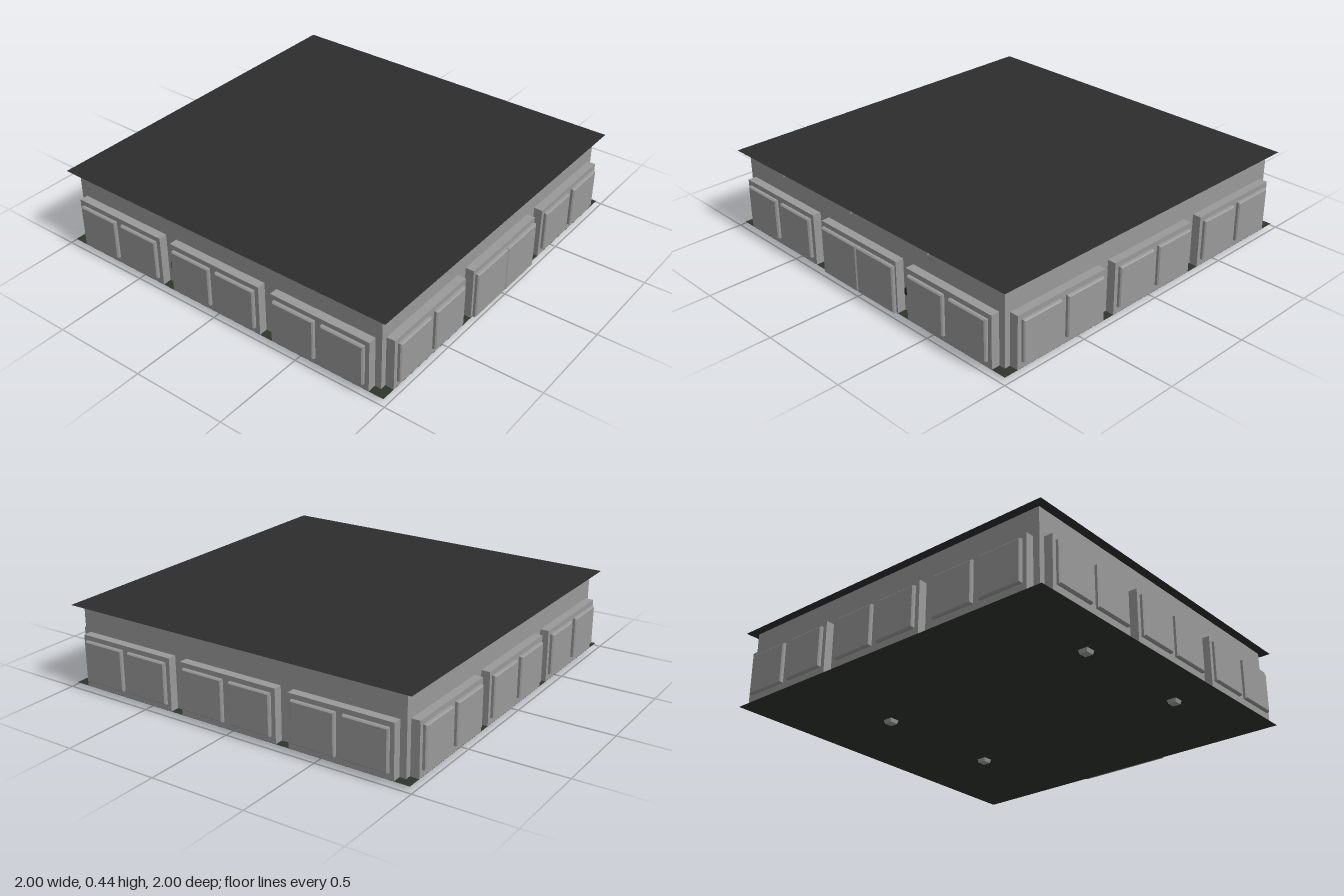
import * as THREE from 'three';

const wallGrey = new THREE.MeshStandardMaterial({ name: 'wallGrey', color: 0x999999 });
const roofBlack = new THREE.MeshStandardMaterial({ name: 'roofBlack', color: 0x2d2d2d, side: THREE.DoubleSide });
const floorGreen = new THREE.MeshStandardMaterial({ name: 'floorGreen', color: 0x2e352b, side: THREE.DoubleSide });
const switchBlack = new THREE.MeshStandardMaterial({ name: 'switchBlack', color: 0x1c1c1c });

const FLOOR = 0.02, ROOF = 0.435, WALL = 0.935, BAY = 0.98;

function add(parent, name, geometry, material, x = 0, y = 0, z = 0) {
  const mesh = new THREE.Mesh(geometry, material);
  mesh.name = name;
  mesh.position.set(x, y, z);
  parent.add(mesh);
  return mesh;
}

// Raised panel with a chamfered rim, its back at z = 0
function panelGeometry(width, y0, y1) {
  const c = 0.006, w = width / 2 - c;
  const shape = new THREE.Shape([
    new THREE.Vector2(-w, y0 + c), new THREE.Vector2(w, y0 + c),
    new THREE.Vector2(w, y1 - c), new THREE.Vector2(-w, y1 - c),
  ]);
  const geometry = new THREE.ExtrudeGeometry(shape, {
    depth: 0.014, bevelEnabled: true, bevelThickness: c, bevelSize: c, bevelSegments: 1,
  });
  return geometry;
}

// One side of the building, built facing +z
function buildSide(name, { door = false, switchX = null, lamps = [] }) {
  const side = new THREE.Group();
  side.name = name;
  const bayGeometry = new THREE.BoxGeometry(0.555, 0.274, BAY - WALL + 0.01);
  const windowPanel = panelGeometry(0.235, 0.055, 0.27);
  const doorLeaf = panelGeometry(0.264, FLOOR + 0.001, 0.27);

  [-0.626, -0.003, 0.623].forEach((x, i) => {
    add(side, 'bay', bayGeometry, wallGrey, x, FLOOR + 0.138, (BAY + WALL - 0.01) / 2);
    const isDoor = door && i === 1;
    for (const s of [-1, 1]) {
      if (isDoor) add(side, 'doorLeaf', doorLeaf, wallGrey, s * 0.1325, 0, BAY - 0.001);
      else add(side, 'bayPanel', windowPanel, wallGrey, x + s * 0.1375, 0, BAY - 0.001);
    }
  });

  // Small dark switch between two bays
  if (switchX !== null) {
    add(side, 'wallSwitch', new THREE.BoxGeometry(0.014, 0.034, 0.012), switchBlack, switchX, 0.131, WALL + 0.004);
  }
  // Round wall lamps under the eaves
  const lampGeometry = new THREE.CylinderGeometry(0.03, 0.03, 0.012, 24).rotateX(Math.PI / 2);
  for (const x of lamps) add(side, 'wallLamp', lampGeometry, wallGrey, x, 0.4, WALL + 0.005);
  return side;
}

export function createModel() {
  const model = new THREE.Group();
  model.name = 'building';

  // Core walls, roof sheet and floor sheet
  add(model, 'walls', new THREE.BoxGeometry(2 * WALL, ROOF - FLOOR - 0.004, 2 * WALL), wallGrey, 0, (ROOF + FLOOR) / 2, 0);
  const sheet = new THREE.PlaneGeometry(2 * BAY, 2 * BAY).rotateX(-Math.PI / 2);
  add(model, 'roof', sheet, roofBlack, 0, ROOF, 0);
  add(model, 'floor', sheet, floorGreen, 0, FLOOR, 0);

  // Four sides
  const sides = [
    buildSide('frontSide', { switchX: -0.315 }),
    buildSide('leftSide', { door: true, switchX: 0.294, lamps: [-0.66, -0.12, 0.43] }),
    buildSide('backSide', {}),
    buildSide('rightSide', {}),
  ];
  sides.forEach((side, i) => {
    side.rotation.y = i * Math.PI / 2;
    model.add(side);
  });

  // Tapered feet
  const foot = new THREE.CylinderGeometry(0.027 * Math.SQRT2, 0.022 * Math.SQRT2, FLOOR, 4).rotateY(Math.PI / 4).toNonIndexed();
  foot.computeVertexNormals();
  for (const x of [-0.365, 0.365]) {
    for (const z of [0.745, -0.515]) add(model, 'foot', foot, wallGrey, x, FLOOR / 2 - 0.0005, z);
  }
  return model;
}
